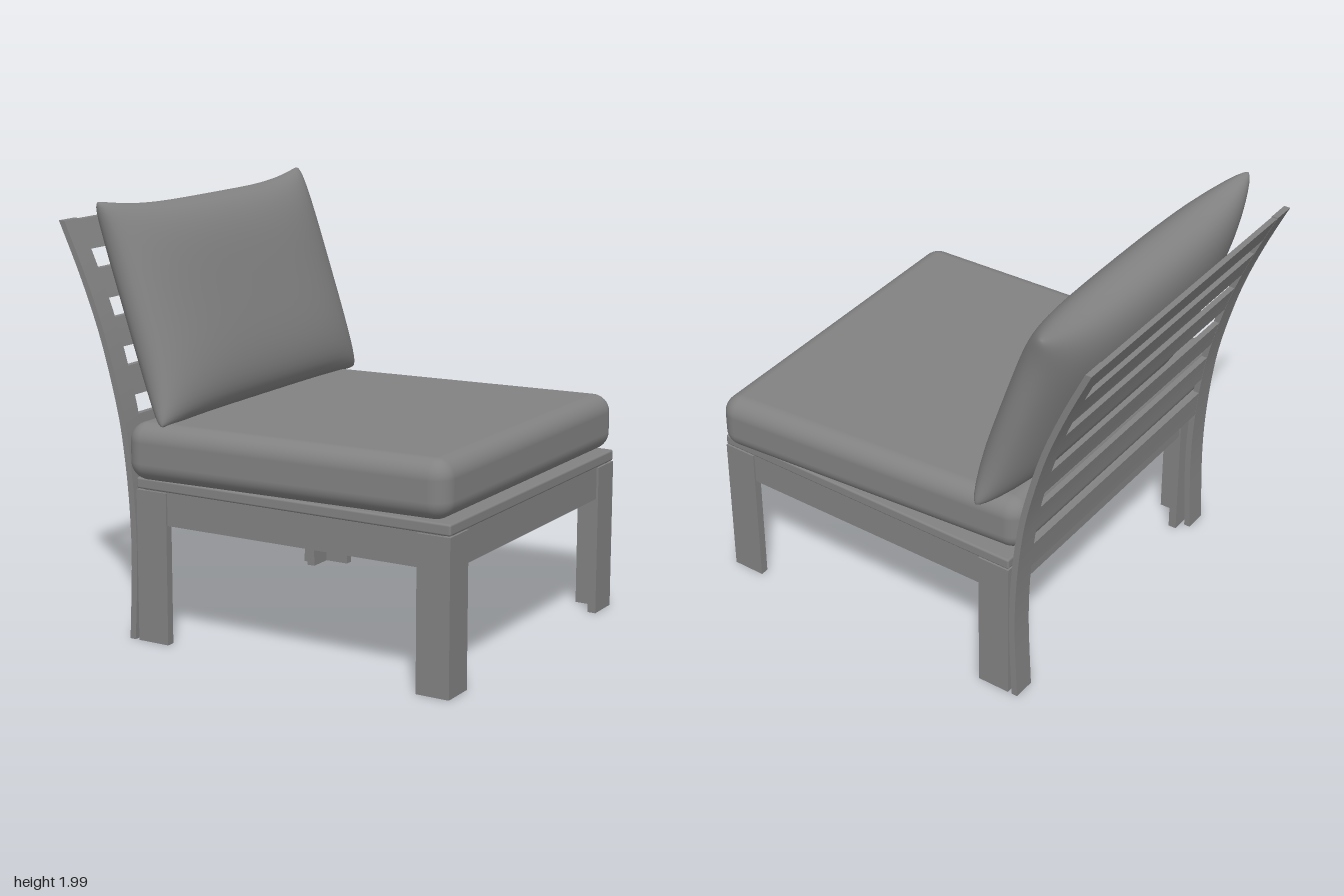
import * as THREE from 'three';
import { RoundedBoxGeometry } from 'three/addons/geometries/RoundedBoxGeometry.js';
import { mergeGeometries, mergeVertices, toCreasedNormals } from 'three/addons/utils/BufferGeometryUtils.js';

const material = new THREE.MeshStandardMaterial({ color: 0x828282 });

function add(parent, name, geometry, x = 0, y = 0, z = 0) {
  const mesh = new THREE.Mesh(geometry, material);
  mesh.name = name;
  mesh.position.set(x, y, z);
  parent.add(mesh);
}

// A box given by its lower and upper limits
function addBox(parent, name, x0, x1, y0, y1, z0, z1) {
  add(parent, name, new THREE.BoxGeometry(x1 - x0, y1 - y0, z1 - z0),
    (x0 + x1) / 2, (y0 + y1) / 2, (z0 + z1) / 2);
}

// Side curve of the back: splayed foot, sweeping rearwards at the top
const backCurve = new THREE.SplineCurve([
  [-0.635, 0], [-0.62, 0.35], [-0.625, 0.6], [-0.648, 0.85], [-0.685, 1.07],
  [-0.77, 1.38], [-0.87, 1.64], [-0.985, 1.89],
].map(([x, y]) => new THREE.Vector2(x, y)));
const backPoints = backCurve.getPoints(120);

function backX(y) {
  const i = Math.max(1, backPoints.findIndex((p) => p.y >= y - 1e-6));
  const a = backPoints[i - 1], b = backPoints[i];
  return a.x + (b.x - a.x) * (y - a.y) / (b.y - a.y);
}

// A strip following the back curve between two heights, extruded along z
function backStrip(y0, y1, thickness, z0, z1, steps) {
  const front = [], rear = [];
  for (let i = 0; i <= steps; i++) {
    const y = y0 + (y1 - y0) * i / steps, x = backX(y);
    front.push(new THREE.Vector2(x + thickness / 2, y));
    rear.unshift(new THREE.Vector2(x - thickness / 2, y));
  }
  const geometry = new THREE.ExtrudeGeometry(new THREE.Shape([...front, ...rear]),
    { depth: z1 - z0, bevelEnabled: false });
  geometry.translate(0, 0, z0);
  return toCreasedNormals(geometry, 0.5);
}

// Cushion with thin edges, blunt pulled-out corners and a full middle
function pillowGeometry(halfWidth, halfHeight, halfDepth) {
  const sides = [1, -1].map((side) => {
    const g = new THREE.PlaneGeometry(2, 2, 40, 32);
    const p = g.attributes.position;
    for (let i = 0; i < p.count; i++) {
      const u = Math.sin(p.getX(i) * Math.PI / 2), v = Math.sin(p.getY(i) * Math.PI / 2);
      const puff = Math.pow(Math.max(0, (1 - u ** 4) * (1 - v ** 4)), 0.45);
      const pinchY = 1 - (v > 0 ? 0.11 : 0.03) * (1 - u ** 4);
      const pinchX = 1 - 0.045 * (1 - v ** 4);
      const blunt = 1 - 0.02 * (u * v) ** 20;
      p.setXYZ(i, side * u * halfWidth * pinchX * blunt, v * halfHeight * pinchY * blunt,
        side * halfDepth * (puff * (1 - 0.08 * u * u) + 0.0001));
    }
    g.deleteAttribute('uv');
    g.deleteAttribute('normal');
    return g;
  });
  const geometry = mergeVertices(mergeGeometries(sides), 0.001);
  geometry.computeVertexNormals();
  return geometry;
}

export function createModel() {
  const model = new THREE.Group();
  model.name = 'loungeChair';

  // Legs: two boards joined into an angle at each corner
  const board = 0.04, legTop = 0.706;
  for (const [x0, x1, outer] of [[-0.6, -0.44, -1], [0.84, 1, 1]]) {
    for (const s of [1, -1]) {
      const leg = new THREE.Group();
      leg.name = outer > 0 ? 'frontLeg' : 'backLeg';
      const zs = (a, b) => (s > 0 ? [a, b] : [-b, -a]);
      addBox(leg, 'legSideBoard', x0, x1, 0, legTop, ...zs(0.8 - board, 0.8));
      const xe = outer > 0 ? [x1 - board, x1] : [x0, x0 + board];
      addBox(leg, 'legEndBoard', ...xe, 0, legTop, ...zs(0.64, 0.8 - board));
      model.add(leg);
    }
  }

  // Rails under the seat, set slightly in from the legs
  for (const s of [1, -1]) {
    const z = s * 0.77;
    addBox(model, 'sideRail', -0.56, 0.96, 0.555, 0.712, z - 0.02, z + 0.02);
    const x = 0.2 + s * 0.77;
    addBox(model, 'crossRail', x - 0.02, x + 0.02, 0.555, 0.712, -0.76, 0.76);
  }

  // Seat panel with softened edges
  add(model, 'seatPanel', new RoundedBoxGeometry(1.6, 0.052, 1.6, 2, 0.01), 0.2, 0.736, 0);

  // Curved back posts and the slats between them
  for (const z0 of [-0.8, 0.69]) {
    add(model, 'backPost', backStrip(0, 1.89, 0.03, z0, z0 + 0.11, 28));
  }
  const slats = 6, pitch = 0.215, slatHeight = 0.13;
  for (let i = 0; i < slats; i++) {
    const top = 1.885 - i * pitch;
    add(model, 'backSlat', backStrip(top - slatHeight, top, 0.028, -0.69, 0.69, 4));
  }

  // Seat cushion, lying slightly askew on the panel
  const seat = new RoundedBoxGeometry(1.595, 0.265, 1.64, 6, 0.085);
  const p = seat.attributes.position;
  for (let i = 0; i < p.count; i++) {
    const x = p.getX(i);
    p.setZ(i, p.getZ(i) * (1 + 0.022 * x) + 0.01 - 0.057 * x);
  }
  add(model, 'seatCushion', seat, 0.175, 0.888, 0);

  // Back cushion, leaning against the slats
  const pillow = pillowGeometry(0.835, 0.525, 0.168);
  pillow.rotateY(Math.PI / 2);
  pillow.rotateZ(0.325);
  add(model, 'backCushion', pillow, -0.605, 1.5, 0);

  return model;
}
